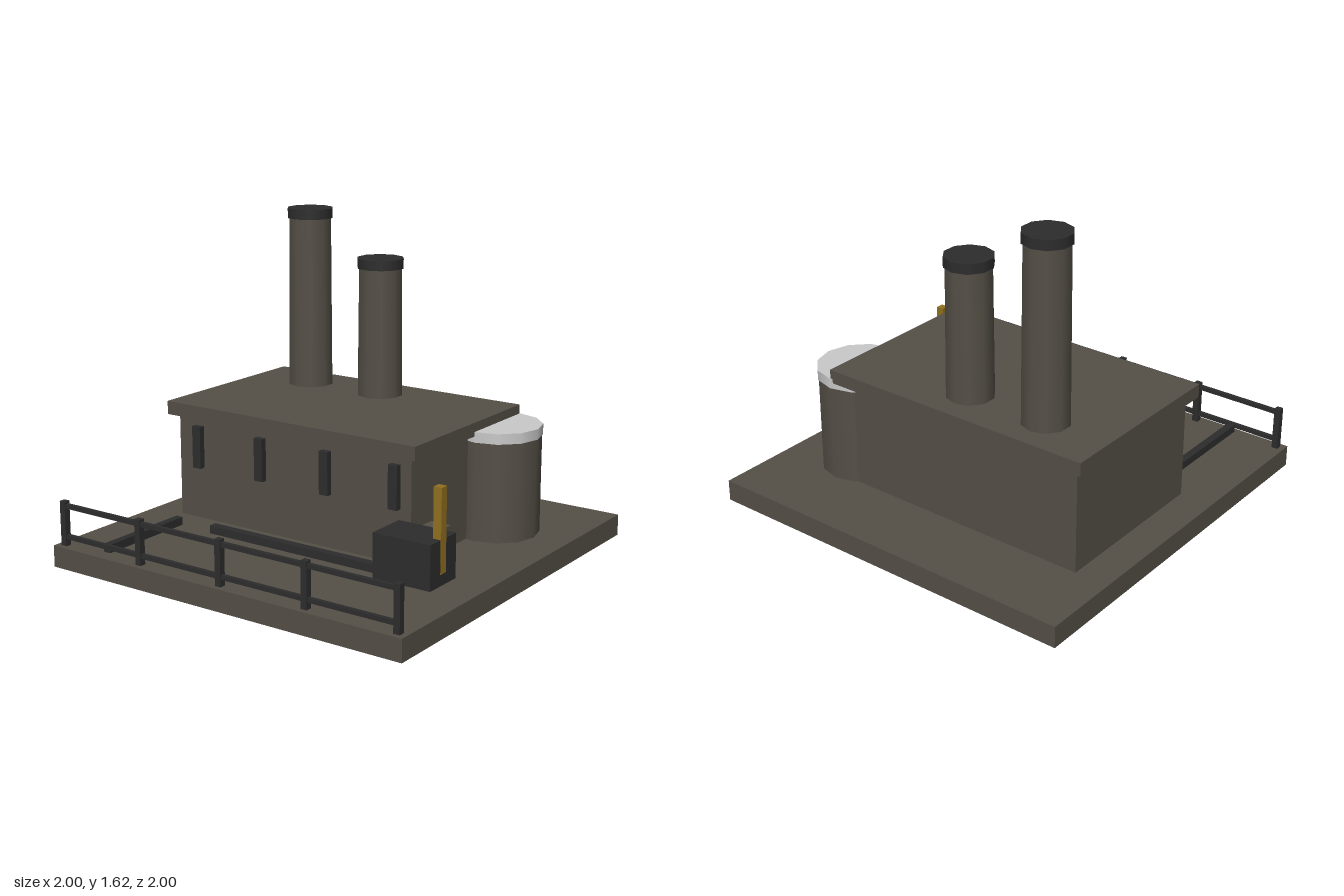
import * as THREE from 'three';

export function createModel() {
  const model = new THREE.Group();
  const material = (name, color) => {
    const m = new THREE.MeshStandardMaterial({ color });
    m.name = name;
    return m;
  };
  const stone = material('greyBrown', 0x555047);
  const iron = material('darkIron', 0x2d2d2e);
  const pale = material('paleMetal', 0xcacaca);
  const ochre = material('ochre', 0x92701f);

  const add = (name, geometry, mat, x, y, z) => {
    const mesh = new THREE.Mesh(geometry, mat);
    mesh.name = name;
    mesh.position.set(x, y, z);
    model.add(mesh);
    return mesh;
  };
  // Box given by its extents along each axis
  const box = (name, mat, [x0, x1], [y0, y1], [z0, z1]) =>
    add(name, new THREE.BoxGeometry(x1 - x0, y1 - y0, z1 - z0), mat,
      (x0 + x1) / 2, (y0 + y1) / 2, (z0 + z1) / 2);
  // Upright cylinder given by its bottom and top heights
  const drum = (name, mat, x, z, y0, y1, rBottom, rTop, sides) =>
    add(name, new THREE.CylinderGeometry(rTop, rBottom, y1 - y0, sides), mat, x, (y0 + y1) / 2, z);

  // Ground slab, hall and overhanging roof
  box('base', stone, [-1, 1], [0, 0.108], [-1, 1]);
  box('hall', stone, [-0.826, 0.562], [0.108, 0.632], [-0.612, 0.262]);
  box('roof', stone, [-0.87, 0.606], [0.632, 0.7], [-0.652, 0.304]);

  // Narrow windows along the front wall
  for (const x of [-0.697, -0.306, 0.085, 0.477]) {
    box('window', iron, [x - 0.025, x + 0.025], [0.375, 0.59], [0.258, 0.293]);
  }

  // Two chimneys with dark caps
  for (const [x, top] of [[-0.525, 1.62], [-0.088, 1.4]]) {
    drum('chimney', stone, x, -0.438, 0.69, top - 0.05, 0.118, 0.112, 10);
    drum('chimneyCap', iron, x, -0.438, top - 0.05, top, 0.12, 0.12, 10);
  }

  // Storage tank beside the hall
  drum('tank', stone, 0.607, -0.436, 0.108, 0.602, 0.216, 0.216, 12);
  drum('tankLid', pale, 0.607, -0.436, 0.602, 0.654, 0.22, 0.22, 12);

  // Pump box with its duct and upright lever
  box('pumpBox', iron, [0.54, 0.845], [0.135, 0.35], [0.33, 0.543]);
  box('duct', stone, [0.53, 0.67], [0.155, 0.285], [0.09, 0.34]);
  box('lever', ochre, [0.805, 0.847], [0.19, 0.59], [0.417, 0.46]);

  // Ground pipes
  box('longPipe', iron, [-0.482, 0.65], [0.12, 0.16], [0.412, 0.455]);
  box('crossPipe', iron, [-0.716, -0.677], [0.12, 0.16], [0.432, 0.95]);

  // Front railing
  for (let i = -2; i <= 2; i++) {
    const x = i * 0.478;
    box('railPost', iron, [x - 0.016, x + 0.016], [0.108, 0.33], [0.943, 0.975]);
  }
  for (const y of [0.153, 0.307]) {
    box('rail', iron, [-0.957, 0.957], [y - 0.011, y + 0.011], [0.949, 0.969]);
  }

  return model;
}
